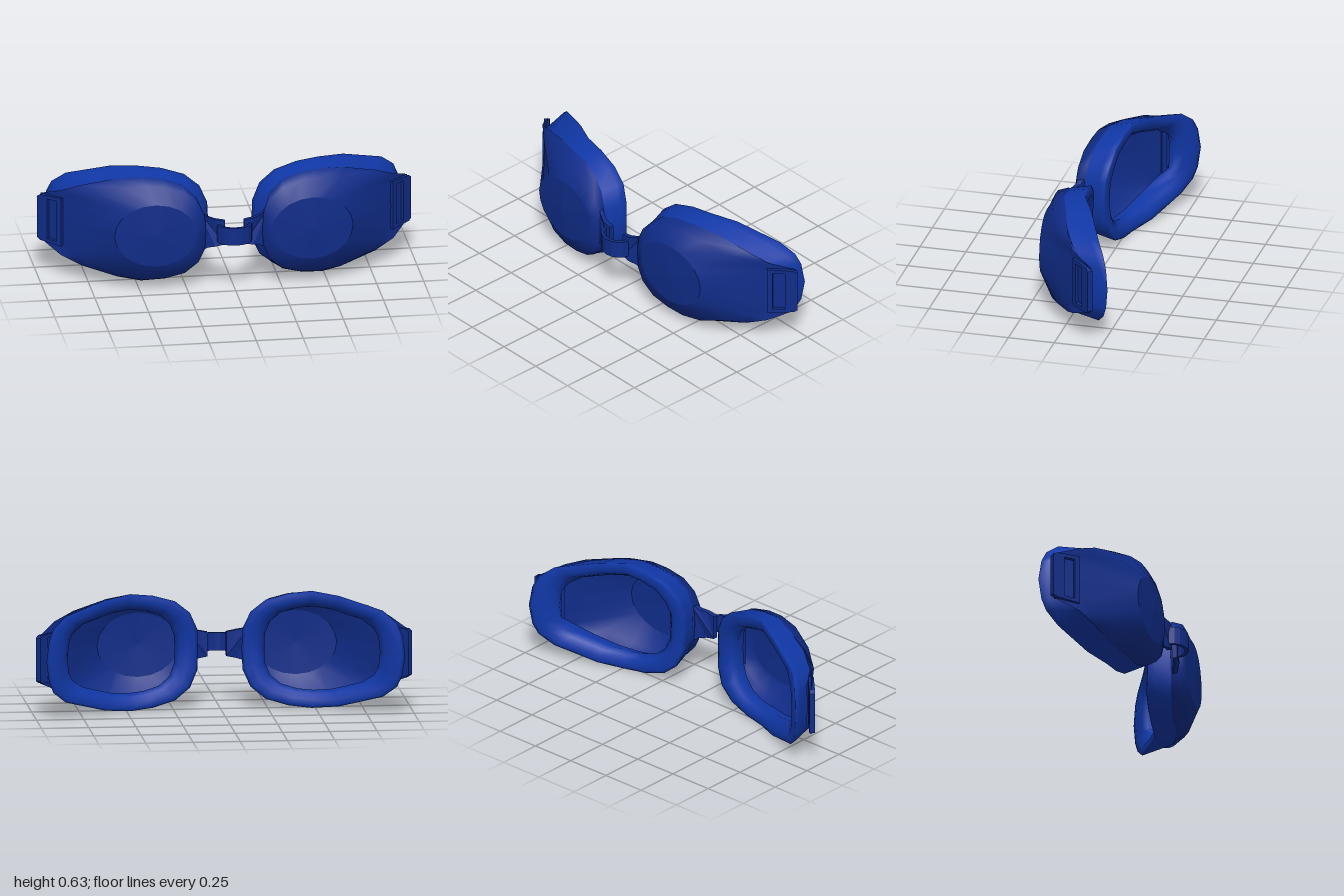
import * as THREE from 'three';

const MID_Y = 0.317;
const lensBlue = new THREE.MeshStandardMaterial({ color: 0x102c88, side: THREE.DoubleSide });
lensBlue.name = 'lens blue';
const gasketBlue = new THREE.MeshStandardMaterial({ color: 0x1037a6, side: THREE.DoubleSide });
gasketBlue.name = 'gasket blue';

// Upper half of each ring, from nose side to temple: [x, height above middle, z]
const gasketRear = [[.115, 0, .03], [.12, .11, .025], [.16, .2, .01], [.24, .265, 0], [.36, .3, -.015], [.48, .313, -.03],
  [.62, .295, -.1], [.84, .23, -.2], [.91, .17, -.245], [.935, .11, -.265], [.95, 0, -.277]];
const gasketFront = [[.165, 0, .145], [.17, .1, .145], [.2, .185, .138], [.27, .247, .122], [.37, .277, .102], [.48, .286, .09],
  [.6, .272, .05], [.76, .225, -.01], [.86, .17, -.07], [.9, .11, -.14], [.905, 0, -.14]];
const lensRim = [[.162, 0, .14], [.167, .102, .14], [.197, .188, .133], [.268, .251, .117], [.37, .281, .098], [.48, .29, .085],
  [.6, .276, .045], [.78, .227, -.015], [.885, .182, -.068], [.975, .128, -.19], [.978, 0, -.19]];
const lensBulge = [[.15, 0, .19], [.155, .09, .19], [.19, .165, .187], [.26, .225, .177], [.36, .255, .162], [.46, .263, .15],
  [.58, .25, .125], [.73, .205, .06], [.82, .16, -.02], [.88, .115, -.09], [.885, 0, -.092]];
const lensFace = Array.from({ length: 11 }, (_, i) => {
  const a = i / 10 * Math.PI;
  const t = (1 - Math.cos(a)) / 2;
  return [.2 + .435 * t, .172 * Math.sin(a), .208 - .028 * t * t];
});

// Shrinks a ring towards the middle of the eye opening
const shrink = (ring, s, dz) => ring.map(([x, y, z]) =>
  [.53 + (x - .53) * s, y * s, -.06 + (z + .06) * s + dz]);
const blend = (a, b, t) => a.map((p, i) => p.map((v, k) => v + (b[i][k] - v) * t));

// Skins a list of half rings, mirrored top to bottom
function loft(halfRings) {
  const pos = [], index = [], n = 20;
  for (const half of halfRings) {
    for (let j = 0; j < n; j++) {
      const [x, y, z] = half[j <= 10 ? j : n - j];
      pos.push(x, MID_Y + (j <= 10 ? y : -y), z);
    }
  }
  for (let r = 0; r < halfRings.length - 1; r++) {
    for (let j = 0; j < n; j++) {
      const a = r * n + j, b = r * n + (j + 1) % n;
      index.push(a, a + n, b, b, a + n, b + n);
    }
  }
  const geo = new THREE.BufferGeometry();
  geo.setAttribute('position', new THREE.Float32BufferAttribute(pos, 3));
  geo.setIndex(index);
  geo.computeVertexNormals();
  return geo;
}

// Copy for the other side, with the corner order reversed
function mirrored(source) {
  const geo = source.clone().scale(-1, 1, 1);
  const count = geo.index ? geo.index.count : geo.attributes.position.count;
  const order = [];
  for (let i = 0; i < count; i += 3) {
    for (const k of [i, i + 2, i + 1]) order.push(geo.index ? geo.index.getX(k) : k);
  }
  geo.setIndex(order);
  return geo;
}

function polygon(points, Type = THREE.Shape) {
  return new Type(points.map(([x, y]) => new THREE.Vector2(x, y)));
}

// Slotted plate that holds the strap
function strapTab() {
  const shape = polygon([[-.08, -.135], [.06, -.128], [.08, -.115], [.08, .115], [.06, .128], [-.08, .135]]);
  shape.holes.push(polygon([[-.05, -.112], [-.05, .112], [.014, .112], [.014, -.112]], THREE.Path));
  return new THREE.ExtrudeGeometry(shape, { depth: .03, bevelEnabled: false })
    .translate(0, 0, -.03).rotateY(Math.PI / 4).translate(.94, MID_Y, -.125);
}

// Flared lug on the nose side of the lens, bent back towards its rim
function noseLug() {
  const shape = polygon([[.05, -.065], [.1, -.075], [.14, -.085], [.19, -.12],
    [.19, .12], [.14, .085], [.1, .075], [.05, .065]]);
  const geo = new THREE.ExtrudeGeometry(shape, { depth: .026, bevelEnabled: false }).translate(0, MID_Y, .18);
  const p = geo.attributes.position;
  for (let i = 0; i < p.count; i++) p.setZ(i, p.getZ(i) - Math.max(0, p.getX(i) - .1) * .45);
  geo.computeVertexNormals();
  return geo;
}

// Arched strip joining the two lugs
function noseBridge() {
  const arc = (rx, rz) => Array.from({ length: 9 }, (_, i) => {
    const a = i / 8 * Math.PI;
    return [rx * Math.cos(a), -.2 - rz * Math.sin(a)];
  });
  const shape = polygon([...arc(.093, .078), ...arc(.075, .06).reverse()]);
  return new THREE.ExtrudeGeometry(shape, { depth: .096, bevelEnabled: false })
    .rotateX(-Math.PI / 2).translate(0, MID_Y - .048, 0);
}

export function createModel() {
  const model = new THREE.Group();
  model.name = 'swimmingGoggles';
  const add = (parent, name, geo, mat) => {
    const mesh = new THREE.Mesh(geo, mat);
    mesh.name = name;
    parent.add(mesh);
  };

  const faceCentre = lensFace.map(() => [.42, 0, .211]);
  const parts = [
    // Soft seal: inner wall, rounded rear lip, outer wall
    ['gasket', loft([
      shrink(gasketFront, .86, 0),
      shrink(blend(gasketRear, gasketFront, .4), .74, .01),
      shrink(gasketRear, .77, .02),
      shrink(gasketRear, .86, -.005),
      shrink(gasketRear, .96, -.003),
      gasketRear,
      blend(gasketRear, gasketFront, .3),
      gasketFront,
    ]), gasketBlue],
    ['lensSide', loft([lensRim, lensBulge, lensFace]), lensBlue],
    ['lensFront', loft([lensFace, faceCentre]), lensBlue],
    ['strapTab', strapTab(), lensBlue],
    ['noseLug', noseLug(), lensBlue],
  ];

  for (const side of ['left', 'right']) {
    const eye = new THREE.Group();
    eye.name = side + 'EyeCup';
    for (const [name, geo, mat] of parts) add(eye, name, side === 'left' ? geo : mirrored(geo), mat);
    model.add(eye);
  }
  add(model, 'noseBridge', noseBridge(), lensBlue);
  return model;
}
